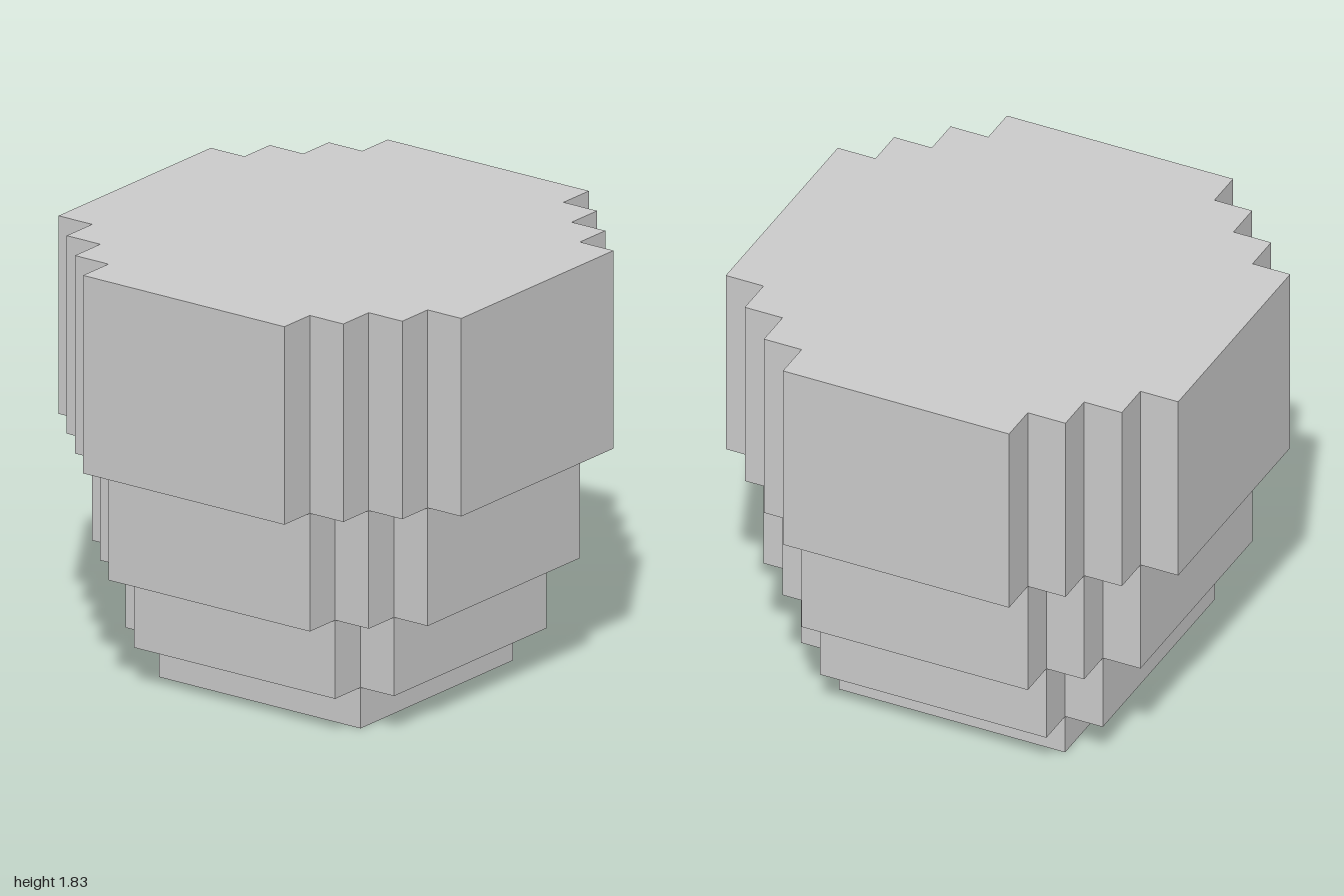
import * as THREE from 'three';

const UNIT = 1 / 6; // size of one step

// Stepped outline: a square with half-width 3 units, widened by n steps on each side
function steppedShape(n) {
  const quarter = [];
  for (let i = 0; i <= n; i++) {
    const x = (3 + n - i) * UNIT, y = (3 + i) * UNIT;
    quarter.push([x, y]); // outer corner
    if (i < n) quarter.push([x - UNIT, y]); // inner corner
  }
  const points = [];
  let turned = quarter;
  for (let q = 0; q < 4; q++) {
    points.push(...turned.map(([x, y]) => new THREE.Vector2(x, y)));
    turned = turned.map(([x, y]) => [-y, x]);
  }
  return new THREE.Shape(points);
}

export function createModel() {
  const model = new THREE.Group();
  model.name = 'steppedBlock';
  const material = new THREE.MeshStandardMaterial({ color: 0xcccccc, flatShading: true });

  // Tiers from the ground up, each one step wider than the one below
  const levels = [0, 0.172, 0.503, 1, 1.833];
  const names = ['baseTier', 'lowerTier', 'middleTier', 'topTier'];
  names.forEach((name, n) => {
    const geometry = new THREE.ExtrudeGeometry(steppedShape(n), {
      depth: levels[n + 1] - levels[n],
      bevelEnabled: false,
    });
    geometry.rotateX(-Math.PI / 2);
    const tier = new THREE.Mesh(geometry, material);
    tier.name = name;
    tier.position.y = levels[n];
    model.add(tier);
  });
  return model;
}
